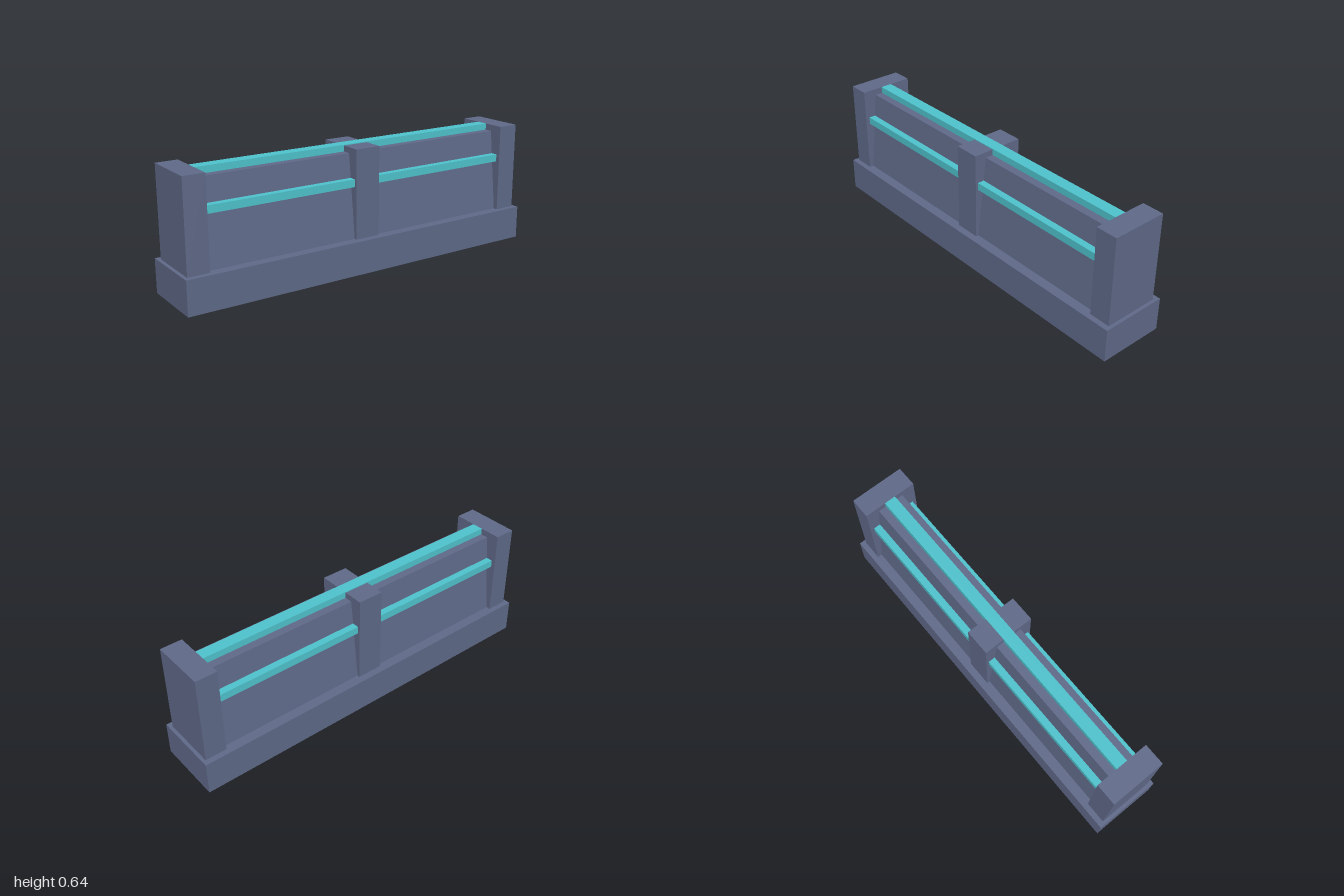
import * as THREE from 'three';

export function createModel() {
  const model = new THREE.Group();
  model.name = 'barrier';

  const slate = new THREE.MeshStandardMaterial({ color: 0x5f6988 });
  slate.name = 'slate blue';
  const teal = new THREE.MeshStandardMaterial({ color: 0x4ec2cc });
  teal.name = 'teal';

  // Box given by its extents along each axis
  function box(name, material, [x0, x1], [y0, y1], [z0, z1]) {
    const mesh = new THREE.Mesh(new THREE.BoxGeometry(x1 - x0, y1 - y0, z1 - z0), material);
    mesh.position.set((x0 + x1) / 2, (y0 + y1) / 2, (z0 + z1) / 2);
    mesh.name = name;
    model.add(mesh);
  }

  const baseTop = 0.175, wallTop = 0.604, top = 0.638, inner = 0.87;

  box('base', slate, [-1, 1], [0, baseTop], [-0.175, 0.175]);

  // Wall with sloping sides, wider at the foot
  const section = new THREE.Shape([
    new THREE.Vector2(-0.123, baseTop),
    new THREE.Vector2(0.123, baseTop),
    new THREE.Vector2(0.073, wallTop),
    new THREE.Vector2(-0.073, wallTop),
  ]);
  const wallGeometry = new THREE.ExtrudeGeometry(section, { depth: inner * 2, bevelEnabled: false });
  wallGeometry.translate(0, 0, -inner).rotateY(Math.PI / 2);
  const wall = new THREE.Mesh(wallGeometry, slate);
  wall.name = 'wall';
  model.add(wall);

  // Posts
  box('leftEndPost', slate, [inner, 0.982], [baseTop, top], [-0.146, 0.146]);
  box('rightEndPost', slate, [-0.982, -inner], [baseTop, top], [-0.146, 0.146]);
  box('middlePost', slate, [-0.068, 0.068], [baseTop, 0.634], [-0.138, 0.138]);

  // Light strips along the crest and both sides
  box('topStrip', teal, [-inner, inner], [wallTop, top], [-0.031, 0.031]);
  box('frontStrip', teal, [-inner, inner], [0.443, 0.482], [0.07, 0.124]);
  box('backStrip', teal, [-inner, inner], [0.443, 0.482], [-0.124, -0.07]);

  return model;
}
